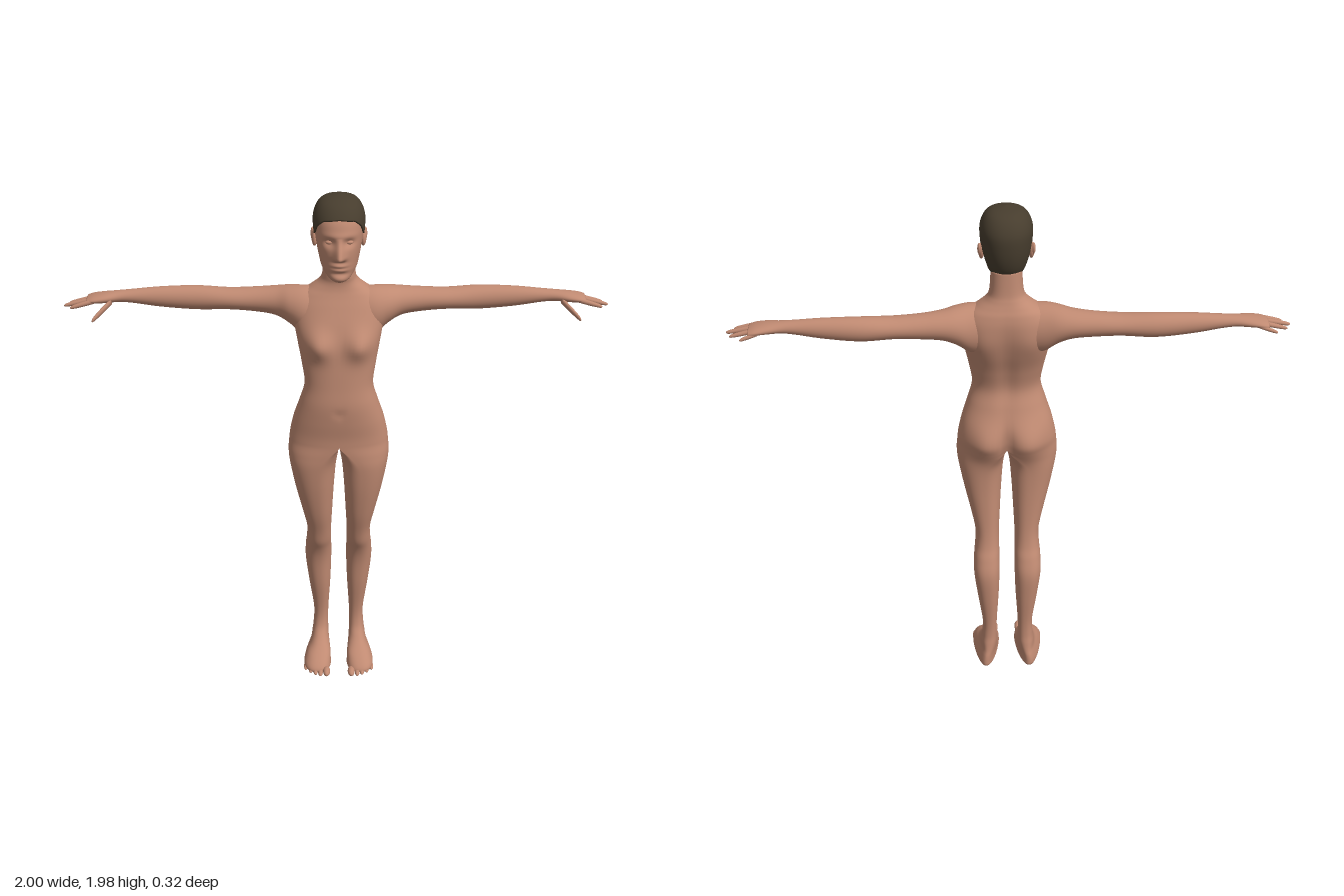
import * as THREE from 'three';

const skin = new THREE.MeshStandardMaterial({ color: 0xc08a72 });
skin.name = 'skin';
const hairColour = new THREE.MeshStandardMaterial({ color: 0x473d2e });
hairColour.name = 'dark brown hair';

const bump = (d, s) => Math.exp(-(d * d) / (2 * s * s));
const power = (v, e) => Math.sign(v) * Math.abs(v) ** e;
const smooth = THREE.MathUtils.smoothstep;
const SHIFT = 0.01; // the trunk stands slightly to its left, the fingertips do not
const warp = (x) => x + SHIFT * (1 - Math.abs(x));

// Smooth interpolation through table rows; u counts rows
function sample(rows, u) {
  const n = rows.length - 1;
  const i = Math.min(Math.floor(u), n - 1), t = u - i;
  const row = (k) => rows[Math.max(0, Math.min(n, k))];
  const [a, b, c, d] = [row(i - 1), row(i), row(i + 1), row(i + 2)];
  return b.map((p, k) => {
    const m0 = (c[k] - a[k]) / 2, m1 = (d[k] - p) / 2, q = c[k];
    return p + t * (m0 + t * (3 * (q - p) - 2 * m0 - m1 + t * (2 * (p - q) + m0 + m1)));
  });
}

// Closed tube of rings with capped ends; point(t, angle) gives [x, y, z]
function loft(name, material, nu, nv, point, side = 1) {
  const pos = [], index = [];
  const tri = (a, b, c) => (side > 0 ? index.push(a, b, c) : index.push(a, c, b));
  for (let i = 0; i <= nu; i++)
    for (let j = 0; j < nv; j++) {
      const [x, y, z] = point(i / nu, (j / nv) * Math.PI * 2);
      pos.push(warp(x * side), y, z);
    }
  for (let i = 0; i < nu; i++)
    for (let j = 0; j < nv; j++) {
      const a = i * nv + j, b = i * nv + ((j + 1) % nv);
      tri(a, a + nv, b);
      tri(b, a + nv, b + nv);
    }
  for (const ring of [0, nu]) {
    const c = pos.length / 3, mid = [0, 0, 0];
    for (let j = 0; j < nv; j++) for (let k = 0; k < 3; k++) mid[k] += pos[(ring * nv + j) * 3 + k] / nv;
    pos.push(...mid);
    for (let j = 0; j < nv; j++) {
      const a = ring * nv + j, b = ring * nv + ((j + 1) % nv);
      if (ring) tri(c, b, a); else tri(c, a, b);
    }
  }
  const geo = new THREE.BufferGeometry();
  geo.setAttribute('position', new THREE.Float32BufferAttribute(pos, 3));
  geo.setIndex(index);
  geo.computeVertexNormals();
  // Keep the shading smooth across the middle line
  const p = geo.attributes.position, n = geo.attributes.normal;
  for (let i = 0; i < p.count; i++)
    if (Math.abs(p.getX(i) - SHIFT) < 1e-4 && Math.hypot(n.getY(i), n.getZ(i)) > 0.05) n.setX(i, 0);
  geo.normalizeNormals();
  const mesh = new THREE.Mesh(geo, material);
  mesh.name = name;
  return mesh;
}

function ball(name, [x, y, z], scale, rotX = 0) {
  const mesh = new THREE.Mesh(new THREE.SphereGeometry(1, 20, 14), skin);
  mesh.name = name;
  mesh.position.set(warp(x), y, z);
  mesh.scale.set(...scale);
  mesh.rotation.x = rotX;
  return mesh;
}

// Leg sections: y, outer x, middle x, inner x, front z, back z
const LEG = [
  [0, 0.122, 0.088, 0.048, 0.065, -0.138], [0.012, 0.135, 0.088, 0.037, 0.086, -0.152],
  [0.03, 0.135, 0.088, 0.037, 0.08, -0.153], [0.055, 0.125, 0.085, 0.038, 0.05, -0.15],
  [0.08, 0.113, 0.08, 0.04, 0.008, -0.143], [0.11, 0.107, 0.077, 0.042, -0.025, -0.137],
  [0.15, 0.102, 0.073, 0.043, -0.05, -0.131], [0.22, 0.1, 0.071, 0.042, -0.056, -0.132],
  [0.35, 0.118, 0.075, 0.034, -0.037, -0.145], [0.46, 0.131, 0.08, 0.03, -0.025, -0.15],
  [0.53, 0.13, 0.08, 0.03, -0.008, -0.132], [0.58, 0.125, 0.078, 0.03, 0.013, -0.112],
  [0.64, 0.124, 0.077, 0.03, 0.035, -0.1], [0.72, 0.14, 0.08, 0.026, 0.06, -0.093],
  [0.83, 0.165, 0.085, 0.02, 0.082, -0.088], [0.93, 0.184, 0.08, 0.012, 0.094, -0.088],
  [0.985, 0.19, 0.045, 0.003, 0.097, -0.09],
];
// Trunk sections: y, half width, front z, back z
const TRUNK = [
  [1.03, 0.187, 0.098, -0.095], [1.07, 0.182, 0.1, -0.1], [1.13, 0.168, 0.108, -0.1],
  [1.2, 0.145, 0.113, -0.083], [1.27, 0.127, 0.107, -0.064], [1.35, 0.137, 0.1, -0.08],
  [1.43, 0.152, 0.09, -0.106], [1.5, 0.164, 0.072, -0.122], [1.56, 0.163, 0.048, -0.126],
  [1.6, 0.138, 0.03, -0.12], [1.625, 0.103, 0.021, -0.11], [1.65, 0.072, 0.018, -0.1],
  [1.68, 0.06, 0.022, -0.092], [1.76, 0.055, 0.02, -0.085],
];
const BODY = [...LEG, ...TRUNK.map(([y, w, f, b]) => [y, w, 0, 0, f, b])];

// Half of the trunk running down into one leg and foot
function bodyPoint(t, a) {
  const [y, out, mRaw, inRaw, zf, zb] = sample(BODY, t * (BODY.length - 1));
  const m = y > 1.029 ? 0 : Math.max(0, mRaw), inner = y > 1.029 ? 0 : Math.max(0, inRaw);
  const c = Math.abs(Math.cos(a)) < 1e-6 ? 0 : power(Math.cos(a), 0.87);
  const s = power(Math.sin(a), 0.87);
  let x = m + c * (c > 0 ? out - m : m - inner);
  x = m + (x - m) * (1 + 0.35 * s * (1 - smooth(y, 0.05, 0.12)));
  let z = (zf + zb) / 2 + (s * (zf - zb)) / 2;
  const front = smooth(s, 0, 0.6), back = smooth(-s, 0, 0.6);
  z += front * 0.034 * bump(x - 0.077, 0.034) * bump(y - 1.435, 0.036);
  z -= front * 0.005 * bump(x, 0.01) * bump(y - 1.17, 0.012);
  z += front * 0.006 * bump(x - 0.078, 0.025) * bump(y - 0.57, 0.03);
  z -= back * 0.04 * bump(x - 0.08, 0.052) * bump(y - 1.06, 0.052);
  z += back * 0.014 * bump(x, 0.014) * bump(y - 1.06, 0.05);
  z += back * 0.01 * bump(x, 0.022) * bump(y - 1.36, 0.13);
  z -= back * 0.01 * bump(x - 0.09, 0.035) * bump(y - 1.49, 0.05);
  return [x, y, z];
}

// Arm sections: x, top y, bottom y, front z, back z
const ARM = [
  [0.07, 1.62, 1.43, 0.03, -0.11], [0.13, 1.622, 1.438, 0.033, -0.122],
  [0.18, 1.618, 1.477, 0.016, -0.13], [0.23, 1.61, 1.502, -0.012, -0.132],
  [0.3, 1.603, 1.512, -0.03, -0.132], [0.4, 1.598, 1.518, -0.04, -0.135],
  [0.52, 1.603, 1.514, -0.054, -0.14], [0.65, 1.6, 1.525, -0.06, -0.13],
  [0.75, 1.592, 1.541, -0.063, -0.12], [0.8, 1.588, 1.546, -0.06, -0.118],
  [0.85, 1.583, 1.545, -0.046, -0.125], [0.89, 1.576, 1.545, -0.042, -0.131],
  [0.915, 1.568, 1.546, -0.048, -0.128],
];
const armPoint = (rows) => (t, a) => {
  const [x, top, bottom, zf, zb] = sample(rows, t * (rows.length - 1));
  return [x, (top + bottom) / 2 + (Math.cos(a) * (top - bottom)) / 2, (zf + zb) / 2 - (Math.sin(a) * (zf - zb)) / 2];
};
function fingerRows(p, q, r) {
  return [[0, 1], [0.3, 1], [0.6, 0.92], [0.85, 0.75], [0.96, 0.5], [1, 0.1]].map(([t, k]) => {
    const [x, y, z] = p.map((v, i) => v + (q[i] - v) * t);
    return [x, y + r * k, y - r * k, z + r * k, z - r * k];
  });
}
const FINGERS = [
  ['thumb', [0.825, 1.556, -0.065], [0.893, 1.5, -0.004], 0.013],
  ['indexFinger', [0.885, 1.56, -0.054], [0.975, 1.537, -0.044], 0.0095],
  ['middleFinger', [0.885, 1.561, -0.076], [1, 1.537, -0.07], 0.0095],
  ['ringFinger', [0.885, 1.56, -0.098], [0.985, 1.537, -0.1], 0.009],
  ['littleFinger', [0.88, 1.558, -0.12], [0.945, 1.538, -0.132], 0.008],
];

// Head sections: y, half width, front z, back z
const HEAD = [
  [1.688, 0.02, 0.112, 0.06], [1.7, 0.04, 0.122, 0.02], [1.73, 0.062, 0.124, -0.05],
  [1.76, 0.071, 0.126, -0.082], [1.8, 0.079, 0.127, -0.1], [1.85, 0.086, 0.122, -0.109],
  [1.9, 0.088, 0.109, -0.108], [1.94, 0.074, 0.08, -0.087], [1.962, 0.048, 0.042, -0.054],
  [1.972, 0.0005, 0.0005, -0.0005],
];
function headPoint(u, a) {
  const [y, w, zf, zb] = sample(HEAD, u);
  const c = power(Math.cos(a), 0.92), s = power(Math.sin(a), 0.92);
  const x = Math.abs(c) < 1e-6 ? 0 : w * c;
  let z = (zf + zb) / 2 + (s * (zf - zb)) / 2;
  const ramp = THREE.MathUtils.clamp((1.85 - y) / 0.064, 0, 1);
  const nose = ramp * smooth(y, 1.764, 1.782);
  const face =
    0.036 * nose * bump(x, 0.008 + 0.005 * ramp) -
    0.013 * bump(Math.abs(x) - 0.034, 0.015) * bump(y - 1.832, 0.011) +
    0.004 * bump(x, 0.05) * bump(y - 1.856, 0.009) +
    0.007 * bump(x, 0.018) * (bump(y - 1.752, 0.005) + bump(y - 1.736, 0.005)) -
    0.004 * bump(x, 0.025) * bump(y - 1.721, 0.006) +
    0.006 * bump(x, 0.02) * bump(y - 1.702, 0.01);
  z += face * smooth(s, 0.1, 0.6);
  return [x, y, z];
}

// Hairline: angle from the front in degrees, head section number
const HAIRLINE = [[0, 6.2], [35, 6.05], [55, 5.6], [72, 5], [88, 4.75], [104, 4.8], [114, 4.1], [128, 2.9], [150, 2.35], [180, 2.2]];
function hairline(a) {
  const deg = Math.abs(THREE.MathUtils.radToDeg(Math.atan2(Math.cos(a), Math.sin(a))));
  const i = Math.max(1, HAIRLINE.findIndex(([d]) => d >= deg - 1e-6));
  const [d0, u0] = HAIRLINE[i - 1], [d1, u1] = HAIRLINE[i];
  return u0 + ((u1 - u0) * (deg - d0)) / (d1 - d0);
}
function hairPoint(t, a) {
  const start = hairline(a);
  const p = new THREE.Vector3(...headPoint(start + (9 - start) * Math.max(0, (t - 0.02) / 0.98), a));
  const away = p.clone().sub(new THREE.Vector3(0, 1.83, 0)).normalize();
  p.addScaledVector(away, t === 0 ? -0.004 : 0.005);
  return p.toArray();
}

export function createModel() {
  const model = new THREE.Group();
  model.name = 'standingFigure';
  model.add(
    loft('head', skin, 117, 120, (t, a) => headPoint(t * 9, a)),
    loft('hair', hairColour, 50, 96, hairPoint),
  );
  for (const s of [1, -1]) {
    const tag = s > 0 ? 'left' : 'right';
    model.add(
      loft(tag + 'TrunkAndLeg', skin, 180, 64, bodyPoint, s),
      loft(tag + 'Arm', skin, 72, 32, armPoint(ARM), s),
      ball(tag + 'Eyelid', [s * 0.034, 1.832, 0.099], [0.015, 0.008, 0.012]),
      ball(tag + 'Ear', [s * 0.087, 1.816, -0.016], [0.011, 0.033, 0.017], -0.2),
      ball(tag + 'EarRim', [s * 0.094, 1.826, -0.024], [0.007, 0.023, 0.013], -0.2),
    );
    for (const [name, p, q, r] of FINGERS)
      model.add(loft(tag + name[0].toUpperCase() + name.slice(1), skin, 20, 14, armPoint(fingerRows(p, q, r)), s));
    // Toes, from the big one outwards
    for (let i = 0; i < 5; i++) {
      const r = i ? 0.0105 - i * 0.0005 : 0.0145;
      const x = i ? 0.055 + i * 0.0195 : 0.05;
      model.add(ball(tag + 'Toe' + (i + 1), [s * x, r + 0.001, 0.084 - i * i * 0.0028], [r, r, 0.031 - i * 0.001]));
    }
  }
  return model;
}
